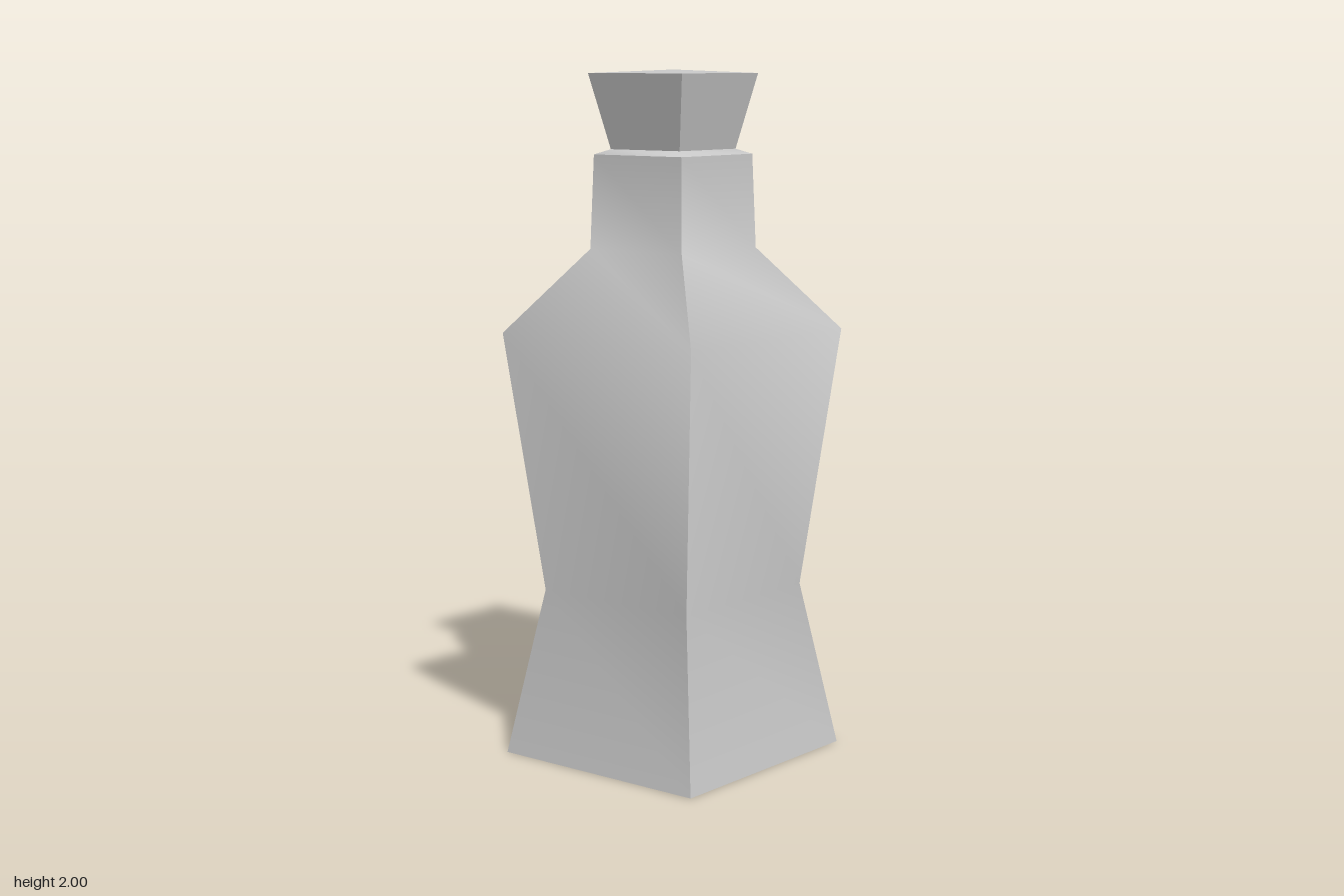
import * as THREE from 'three';
import { toCreasedNormals } from 'three/addons/utils/BufferGeometryUtils.js';

const material = new THREE.MeshStandardMaterial({ color: 0xcccccc });

// Square-section solid from [half width, height] pairs, listed bottom to top
function squareLathe(name, profile) {
  const points = profile.map(([half, y]) => new THREE.Vector2(half * Math.SQRT2, y));
  const geometry = new THREE.LatheGeometry(points, 4);
  geometry.rotateY(Math.PI / 4);
  // Slightly deeper than wide, with the front and back a touch out of square
  geometry.applyMatrix4(new THREE.Matrix4().set(
    1, 0, 0, 0,
    0, 1, 0, 0,
    -0.008, 0, 1.014, 0,
    0, 0, 0, 1));
  // Soft along the height, sharp at the four corners and rims
  const mesh = new THREE.Mesh(toCreasedNormals(geometry, THREE.MathUtils.degToRad(60)), material);
  mesh.name = name;
  return mesh;
}

export function createModel() {
  const bottle = new THREE.Group();
  bottle.name = 'bottle';

  // Flared foot, waist, shoulder, neck and bevelled rim
  bottle.add(squareLathe('bottleBody', [
    [0, 0], [0.346, 0], [0.264, 0.49], [0.346, 1.25],
    [0.168, 1.49], [0.16, 1.76], [0.125, 1.775], [0, 1.775],
  ]));

  // Tapered stopper with a barely domed top
  bottle.add(squareLathe('stopper', [
    [0, 1.77], [0.125, 1.77], [0.171, 1.99], [0, 2],
  ]));

  return bottle;
}
